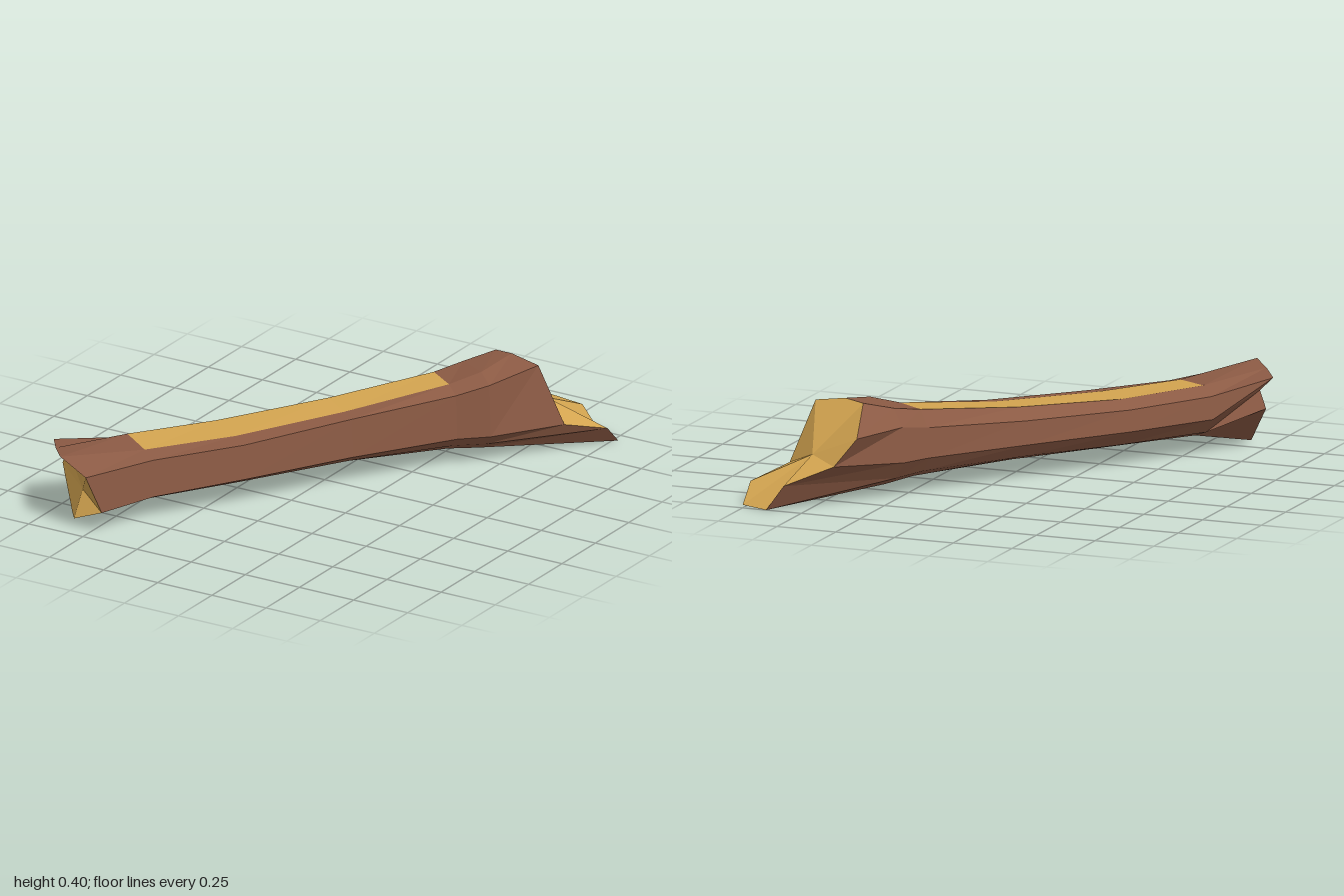
import * as THREE from 'three';

// Ten ridges run the length of the log; sections go clockwise from the upper left.
const ACROSS = [-0.92, -0.57, 0.45, 0.92, 1, 0.75, 0.35, -0.2, -0.7, -1];
const SIDE = [0.83, 0.55]; // horizontal direction across the log

// One section: x, z of its right ridge, its half width and the ten ridge heights
function section(x, z, half, heights) {
  return heights.map((y, i) => {
    const t = (ACROSS[i] - 1) * half;
    return [x + SIDE[0] * t, y, z + SIDE[1] * t];
  });
}

// Broken rear rim
const rearRim = [
  [-0.77, 0.28, 0.78], [-0.7, 0.293, 0.88], [-0.62, 0.305, 0.975], [-0.49, 0.25, 0.995],
  [-0.45, 0.09, 0.94], [-0.52, 0.06, 0.93], [-0.59, 0.03, 0.92], [-0.66, 0.01, 0.82],
  [-0.76, 0.165, 0.73], [-0.73, 0.235, 0.74],
];
// Slanted, splintered tip rim
const tipRim = [
  [0.33, 0.28, -0.84], [0.365, 0.39, -0.69], [0.45, 0.4, -0.67], [0.58, 0.38, -0.66],
  [0.67, 0.13, -0.71], [0.77, 0.08, -0.87], [0.77, 0, -0.95], [0.65, 0, -1],
  [0.58, 0.1, -0.99], [0.41, 0.17, -0.885],
];

const rings = [
  rearRim,
  section(-0.35, 0.71, 0.16, [0.24, 0.275, 0.268, 0.25, 0.1, 0.08, 0.062, 0.062, 0.09, 0.15]),
  section(-0.12, 0.4, 0.17, [0.235, 0.268, 0.265, 0.255, 0.115, 0.09, 0.066, 0.066, 0.09, 0.15]),
  section(0.13, 0, 0.145, [0.245, 0.292, 0.287, 0.28, 0.123, 0.095, 0.07, 0.07, 0.095, 0.15]),
  section(0.39, -0.36, 0.14, [0.27, 0.335, 0.335, 0.31, 0.13, 0.09, 0.057, 0.057, 0.09, 0.15]),
  section(0.49, -0.45, 0.165, [0.29, 0.357, 0.372, 0.343, 0.13, 0.085, 0.045, 0.04, 0.08, 0.15]),
  tipRim,
];

function mesh(name, triangles, color) {
  const geometry = new THREE.BufferGeometry();
  geometry.setAttribute('position', new THREE.Float32BufferAttribute(triangles.flat(2), 3));
  geometry.computeVertexNormals();
  const material = new THREE.MeshStandardMaterial({ color, flatShading: true });
  const result = new THREE.Mesh(geometry, material);
  result.name = name;
  return result;
}

export function createModel() {
  const bark = [], strip = [], rear = [], tip = [];
  const n = ACROSS.length;

  // Bark skin, with the top facet stripped to bare wood along the middle
  for (let r = 0; r < rings.length - 1; r++) {
    for (let j = 0; j < n; j++) {
      const k = (j + 1) % n;
      const [a, b, c, d] = [rings[r][j], rings[r][k], rings[r + 1][j], rings[r + 1][k]];
      const target = j === 1 && r >= 1 && r <= 3 ? strip : bark;
      target.push([a, b, c], [b, d, c]);
    }
  }

  // Hollowed rear break, fanned from two inner points
  const upper = [-0.6, 0.22, 0.85], lower = [-0.6, 0.125, 0.84];
  // Tip break, fanned from the step in the wood
  const step = [0.54, 0.19, -0.79];
  for (let j = 0; j < n; j++) {
    const k = (j + 1) % n;
    rear.push([j >= 3 && j <= 8 ? lower : upper, rearRim[k], rearRim[j]]);
    tip.push([step, tipRim[j], tipRim[k]]);
  }
  rear.push([rearRim[3], upper, lower], [rearRim[9], lower, upper]);

  const brown = 0x8b5a44, wood = 0xd4a550;
  const group = new THREE.Group();
  group.name = 'brokenLog';
  group.add(
    mesh('bark', bark, brown),
    mesh('bareWoodStrip', strip, wood),
    mesh('rearBreak', rear, wood),
    mesh('tipBreak', tip, wood),
  );
  return group;
}
